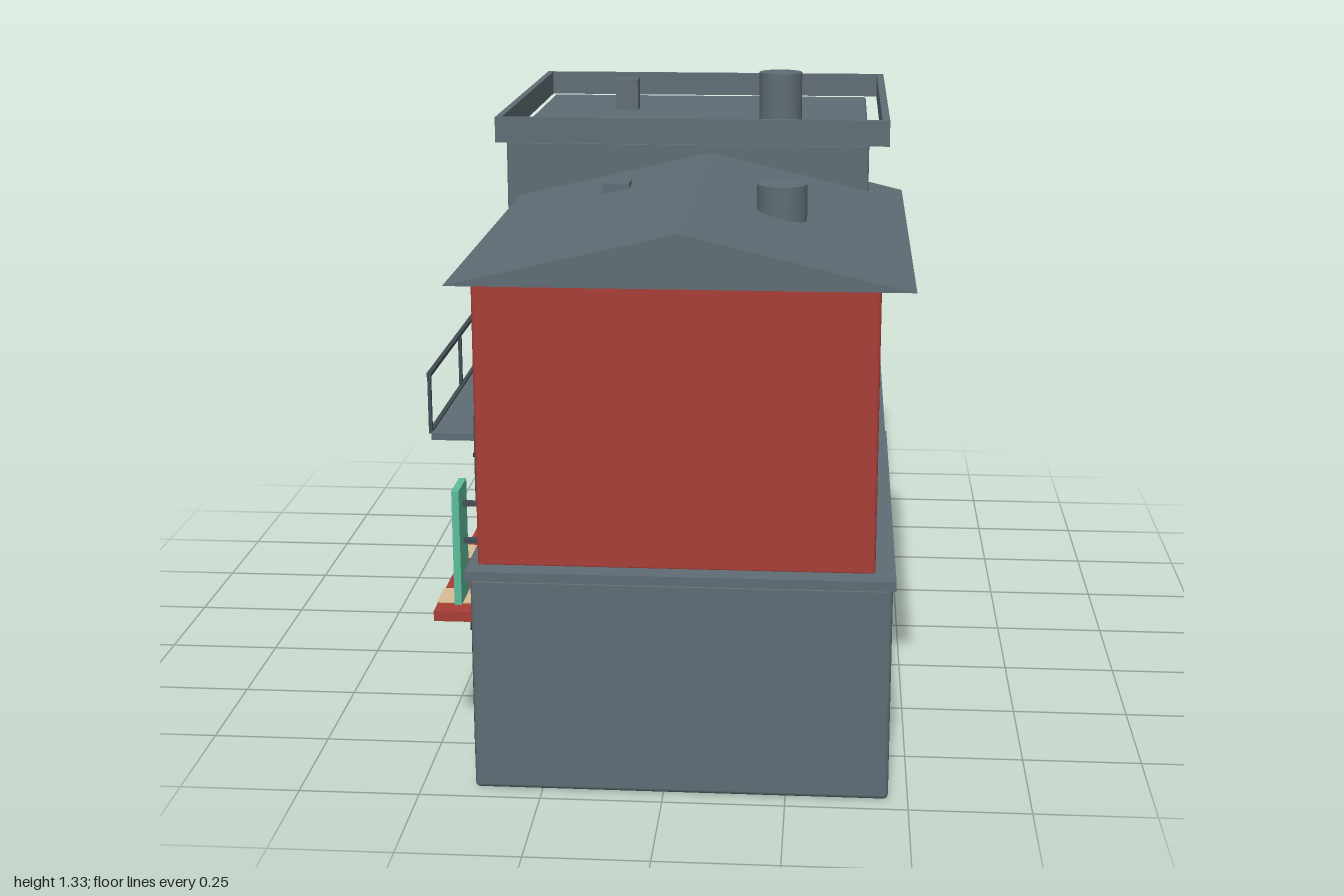
import * as THREE from 'three';
import { RoundedBoxGeometry } from 'three/addons/geometries/RoundedBoxGeometry.js';

const mat = (name, hex) => {
  const m = new THREE.MeshStandardMaterial({ color: hex });
  m.name = name;
  return m;
};

export function createModel() {
  const slate = mat('slate', 0x5e6c74), red = mat('brick red', 0xa83d37), brown = mat('brown', 0x8b523d);
  const orange = mat('lit glass', 0xc4722f), green = mat('sign green', 0x5cbd9b), cream = mat('cream', 0xd6bd94);
  const dark = mat('dark frame', 0x23272e), doorBrown = mat('door brown', 0x725140), iron = mat('iron', 0x434c54);

  const model = new THREE.Group();
  model.name = 'townhouses';

  const add = (parent, name, geometry, material) => {
    const mesh = new THREE.Mesh(geometry, material);
    mesh.name = name;
    parent.add(mesh);
    return mesh;
  };
  // Box given by its minimum and maximum on each axis, with optional rounded edges
  const box = (parent, name, material, x0, x1, y0, y1, z0, z1, r = 0) => {
    const s = [x1 - x0, y1 - y0, z1 - z0];
    const g = r ? new RoundedBoxGeometry(...s, 2, r) : new THREE.BoxGeometry(...s);
    g.translate((x0 + x1) / 2, (y0 + y1) / 2, (z0 + z1) / 2);
    return add(parent, name, g, material);
  };
  const cylinder = (parent, name, material, r, x, y0, y1, z, sides = 24) => {
    const g = new THREE.CylinderGeometry(r, r, y1 - y0, sides);
    g.translate(x, (y0 + y1) / 2, z);
    return add(parent, name, g, material);
  };

  // Front house
  const front = new THREE.Group();
  front.name = 'frontHouse';
  model.add(front);
  box(front, 'groundFloor', slate, -0.39, 0.46, 0, 0.46, -0.09, 0.96, 0.01);
  box(front, 'ledge', slate, -0.4, 0.466, 0.455, 0.475, -0.095, 0.966);
  box(front, 'upperFloor', red, -0.38, 0.425, 0.47, 1.075, -0.05, 0.92, 0.008);
  const gable = new THREE.Shape([[-0.42, 1.07], [0.49, 1.07], [0.035, 1.178]].map(p => new THREE.Vector2(...p)));
  const roof = new THREE.ExtrudeGeometry(gable, { depth: 1.14, bevelEnabled: false });
  roof.translate(0, 0, -0.14);
  add(front, 'gableRoof', roof, slate);
  cylinder(front, 'roofVent', slate, 0.053, 0.22, 1.12, 1.2, 0.55);
  box(front, 'roofBox', slate, -0.19, -0.13, 1.12, 1.15, 0.225, 0.285);

  // Back house
  const back = new THREE.Group();
  back.name = 'backHouse';
  model.add(back);
  box(back, 'groundFloor', brown, -0.46, 0.457, 0.001, 0.46, -0.89, 0.01, 0.01);
  box(back, 'ledge', slate, -0.47, 0.463, 0.456, 0.474, -0.9, 0.02);
  box(back, 'upperFloor', slate, -0.45, 0.408, 0.47, 1.2, -0.872, -0.003, 0.006);
  cylinder(back, 'roofVent', slate, 0.053, 0.19, 1.19, 1.33, -0.33);
  box(back, 'roofBox', slate, -0.247, -0.19, 1.19, 1.28, -0.614, -0.557);

  // Parapet ring standing just clear of the roof deck
  const rect = (Type, x0, x1, z0, z1) =>
    new Type([[x0, -z1], [x1, -z1], [x1, -z0], [x0, -z0]].map(p => new THREE.Vector2(...p)));
  const ring = rect(THREE.Shape, -0.472, 0.455, -0.9, 0.027);
  ring.holes.push(rect(THREE.Path, -0.457, 0.437, -0.886, 0.011));
  const parapet = new THREE.ExtrudeGeometry(ring, { depth: 0.06, bevelEnabled: false });
  parapet.rotateX(-Math.PI / 2).translate(0, 1.2, 0);
  add(back, 'parapet', parapet, slate);

  // Shopfront facade, built facing +z; widths scale with the wall width w
  const facade = (w, awningColour, balconyY) => {
    const f = new THREE.Group();
    f.name = 'facade';
    const b = (name, m, u0, u1, y0, y1, z0, z1, r) => box(f, name, m, u0 * w, u1 * w, y0, y1, z0, z1, r);

    // Shop window and door on a dark surround
    b('shopSurround', dark, -0.4, 0.4, 0.025, 0.29, -0.005, 0.018);
    b('shopGlass', orange, -0.335, 0.06, 0.045, 0.265, 0.018, 0.023);
    b('shopMullion', dark, -0.05, -0.043, 0.045, 0.265, 0.022, 0.026);
    b('shopDoor', doorBrown, 0.15, 0.325, 0.03, 0.26, 0.018, 0.023);

    // Awning with cream stripes and a row of small teeth under it
    b('awning', awningColour, -0.352, 0.352, 0.303, 0.325, -0.005, 0.107);
    for (const u of [-0.265, 0, 0.265])
      b('awningStripe', cream, u - 0.04, u + 0.04, 0.301, 0.327, 0, 0.109);
    for (let i = 0; i < 24; i++) {
      const u = -0.34 + i * 0.0296;
      b('awningTooth', dark, u - 0.008, u + 0.008, 0.283, 0.303, 0.018, 0.03);
    }

    // Upper windows
    for (const u of [-0.235, 0.235]) {
      b('windowFrame', iron, u - 0.135, u + 0.135, 0.575, 0.76, -0.03, 0.008);
      b('windowGlass', orange, u - 0.11, u + 0.11, 0.6, 0.735, 0.008, 0.012);
      b('windowBar', dark, u - 0.11, u + 0.11, 0.664, 0.672, 0.011, 0.015);
    }

    // Balcony with railing
    b('balconyFloor', slate, -0.348, 0.348, balconyY - 0.015, balconyY, -0.03, 0.1);
    const topY = balconyY + 0.125;
    for (const u of [-0.335, 0, 0.335])
      b('railPost', iron, u - 0.004, u + 0.004, balconyY, topY, 0.1, 0.107);
    b('railTop', iron, -0.339, 0.339, topY - 0.008, topY, 0.099, 0.108);
    b('railFoot', iron, -0.339, 0.339, balconyY - 0.004, balconyY + 0.004, 0.098, 0.107);

    // Cooling unit beside the balcony
    b('coolingUnit', slate, -0.41, -0.32, 0.695, 0.77, -0.03, 0.05, 0.008);

    // Hanging sign with plain red bars
    b('sign', green, 0.35, 0.435, 0.375, 0.62, 0.03, 0.045);
    for (const y of [0.42, 0.5, 0.58]) {
      b('signBar', red, 0.372, 0.413, y - 0.006, y + 0.006, 0.044, 0.048);
      b('signBracket', iron, 0.387, 0.397, y - 0.005, y + 0.005, -0.03, 0.03);
    }
    model.add(f);
    return f;
  };

  const side = facade(1.05, red, 0.715);
  side.rotation.y = -Math.PI / 2;
  side.position.set(-0.39, 0, 0.435);

  const rear = facade(0.92, slate, 0.775);
  rear.rotation.y = Math.PI;
  rear.position.set(0, 0, -0.89);
  cylinder(rear, 'downpipe', iron, 0.008, -0.44, 0.02, 0.86, 0.012, 10);

  return model;
}
